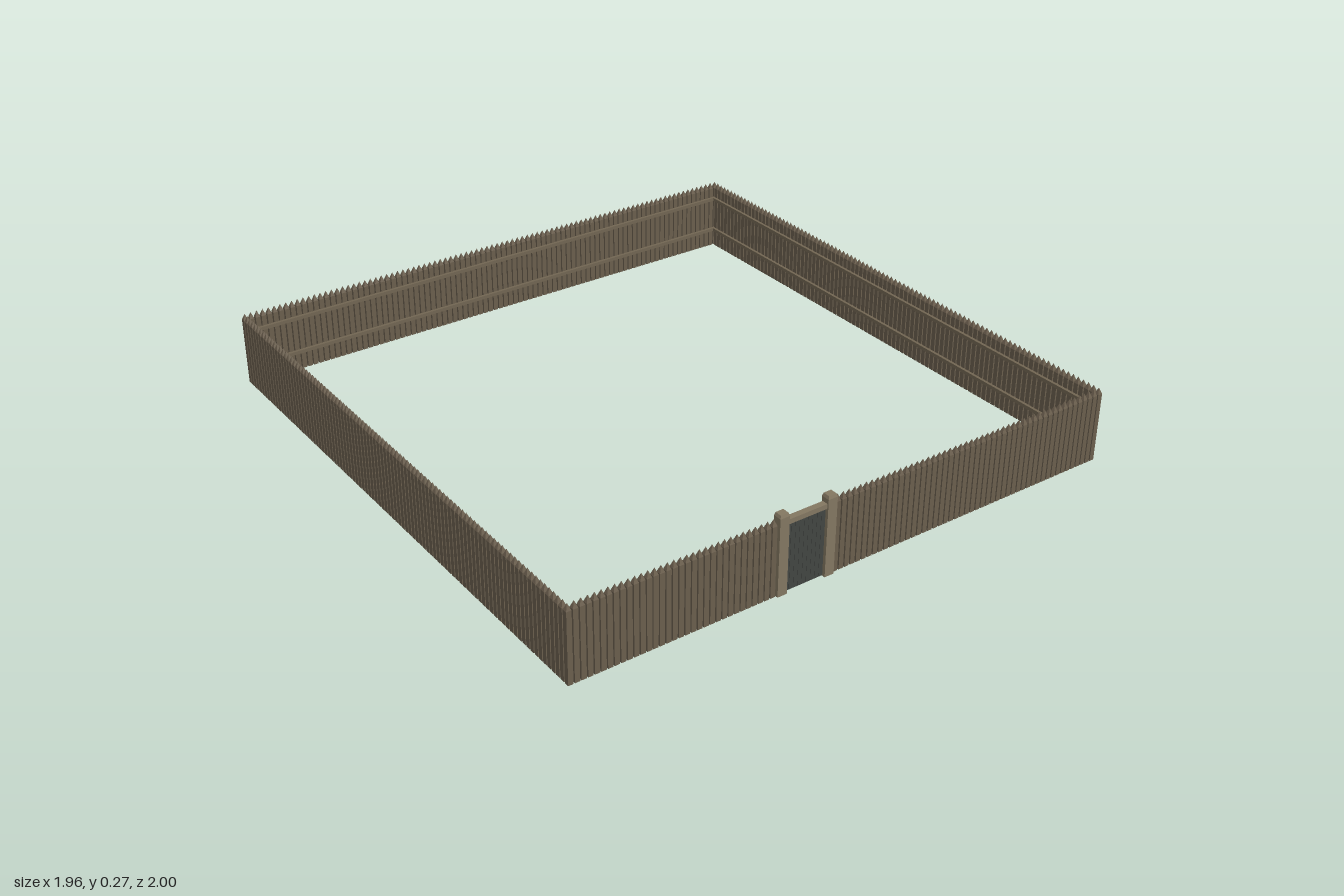
import * as THREE from 'three';
import { mergeGeometries } from 'three/addons/utils/BufferGeometryUtils.js';

const mat = (name, color) => Object.assign(new THREE.MeshStandardMaterial({ color, flatShading: true }), { name });

export function createModel() {
  const root = new THREE.Group();
  root.name = 'palisade';
  const stakeWood = mat('stake wood', 0x6b5f4e);
  const railWood = mat('rail wood', 0x736753);
  const postWood = mat('post wood', 0x857963);
  const gateDark = mat('gate dark grey', 0x434743);

  const X = 0.97, ZF = 0.982, ZB = -0.992;     // stake centre lines
  const W = 0.0165, SHOULDER = 0.236, TIP = 0.258;
  const GX = -0.189, POST = 0.085;             // gate centre and post offset

  const add = (parent, name, geo, material, x = 0, y = 0, z = 0) => {
    const m = new THREE.Mesh(geo, material);
    m.name = name;
    m.position.set(x, y, z);
    parent.add(m);
  };
  const box = (parent, name, w, h, d, material, x, y, z) =>
    add(parent, name, new THREE.BoxGeometry(w, h, d), material, x, y, z);

  // One sharpened stake: square pale with a four-sided point
  const stake = mergeGeometries([
    new THREE.BoxGeometry(W, SHOULDER, W).translate(0, SHOULDER / 2, 0),
    new THREE.ConeGeometry(W * Math.SQRT1_2, TIP - SHOULDER, 4, 1, true)
      .rotateY(Math.PI / 4).translate(0, (SHOULDER + TIP) / 2, 0),
  ]);

  // A straight, evenly spaced run of stakes between two ground points
  const run = (name, x0, z0, x1, z1) => {
    const n = Math.round(Math.hypot(x1 - x0, z1 - z0) / 0.0212);
    const parts = [];
    for (let i = 0; i <= n; i++) {
      const t = i / n;
      parts.push(stake.clone().translate(x0 + (x1 - x0) * t, 0, z0 + (z1 - z0) * t));
    }
    add(root, name, mergeGeometries(parts), stakeWood);
  };
  run('frontStakesRight', -X, ZF, GX - 0.113, ZF);
  run('frontStakesLeft', GX + 0.113, ZF, X, ZF);
  run('backStakes', -X, ZB, X, ZB);
  run('leftStakes', X, ZB + 0.021, X, ZF - 0.021);
  run('rightStakes', -X, ZB + 0.021, -X, ZF - 0.021);

  // Two rails along the inside of each wall
  const inset = 0.0125, T = 0.011, H = 0.012;
  const midZ = (ZF + ZB) / 2, len = ZF - ZB - 2 * inset;
  for (const y of [0.068, 0.195]) {
    box(root, 'backRail', 2 * X, H, T, railWood, 0, y, ZB + inset);
    for (const s of [-1, 1]) {
      box(root, 'sideRail', T, H, len, railWood, s * (X - inset), y, midZ);
      // front rails stop at the gate posts
      const a = GX + s * POST, b = s * X;
      box(root, 'frontRail', Math.abs(b - a), H, T, railWood, (a + b) / 2, y, ZF - inset);
    }
  }

  // Gate: posts with slightly bevelled tops, lintel and a planked door
  const gate = new THREE.Group();
  gate.name = 'gate';
  gate.position.set(GX, 0, 0.983);
  root.add(gate);
  for (const s of [-1, 1]) {
    const post = new THREE.BoxGeometry(0.033, 0.27, 0.029, 1, 27, 1);
    const p = post.attributes.position;
    for (let i = 0; i < p.count; i++) {
      if (p.getY(i) > 0.134) p.setXYZ(i, p.getX(i) * 0.82, p.getY(i), p.getZ(i) * 0.82);
    }
    post.computeVertexNormals();
    add(gate, 'gatePost', post, postWood, s * POST, 0.135, 0);
  }
  box(gate, 'gateLintel', 0.14, 0.016, 0.02, postWood, 0, 0.237, 0);
  box(gate, 'gateDoor', 0.138, 0.22, 0.01, gateDark, 0, 0.113, -0.002);
  for (let i = 0; i < 9; i++) {
    box(gate, 'gatePlank', 0.0142, 0.226, 0.012, gateDark, (i - 4) * 0.0153, 0.115, -0.002);
  }
  return root;
}
